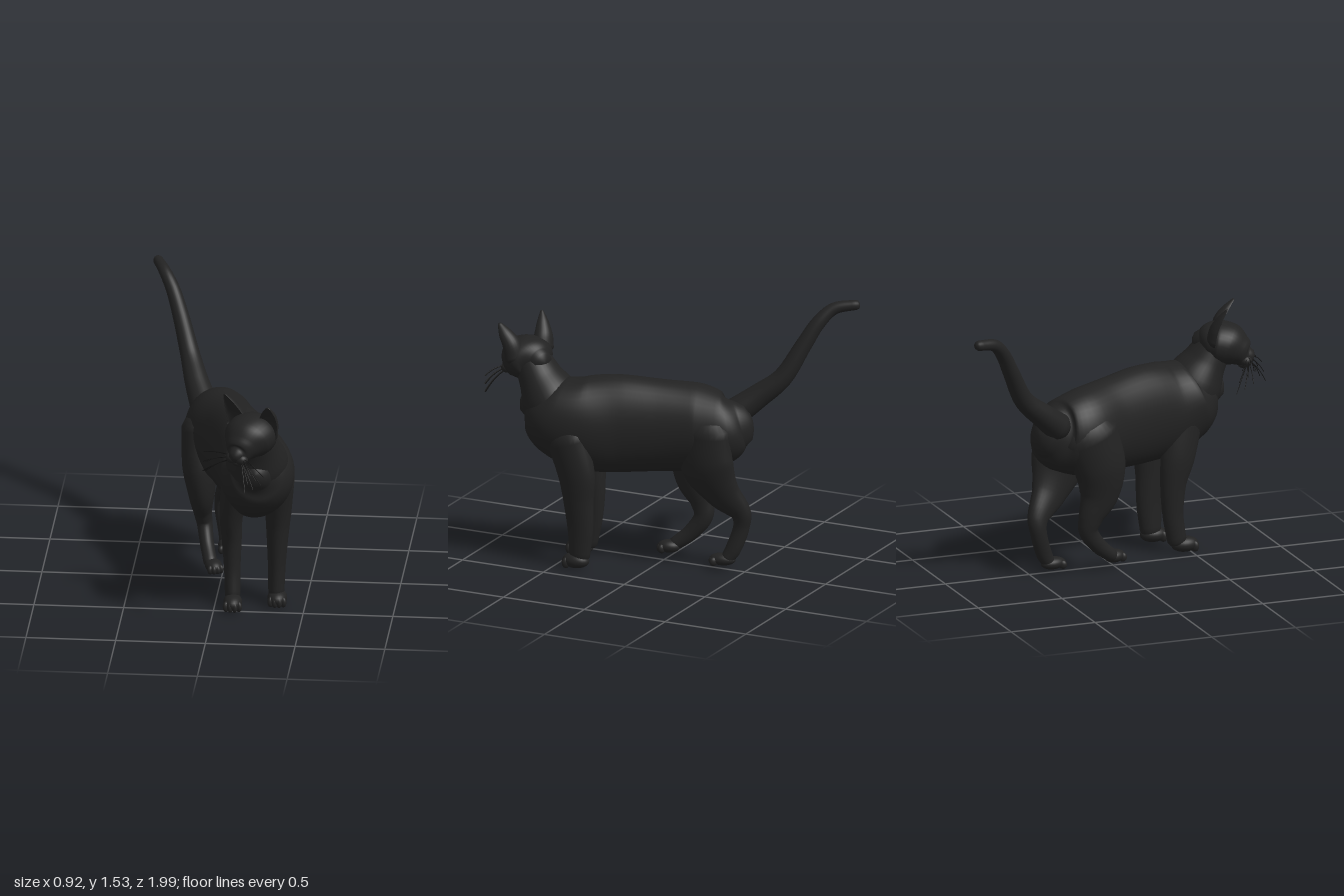
import * as THREE from 'three';

const V = (x, y, z) => new THREE.Vector3(x, y, z);
const SIDE = V(1, 0, 0);
const HEAD_SIDE = V(0.88, 0, 0.47); // the head is turned toward its right
const HEAD_YAW = -0.49;

// Smooth skin through stations [x, y, z, half width, half depth], rounded at both ends.
// "hollow" pushes the front half of each section inward to make a dished shape.
function loft(stations, { side = SIDE, n = 28, steps = 6, hollow = 0 } = {}) {
  const path = new THREE.CatmullRomCurve3(stations.map(s => V(s[0], s[1], s[2])));
  const size = new THREE.CatmullRomCurve3(stations.map(s => V(s[3], s[4] ?? s[3], 0)));
  const count = (stations.length - 1) * steps;
  const rings = [];
  for (let i = 0; i <= count; i++) {
    const u = i / count;
    const t = path.getTangent(u), r = size.getPoint(u), c = path.getPoint(u);
    const ends = i === 0 ? [0.05, 0.4, 0.8] : i === count ? [0.8, 0.4, 0.05] : [];
    const caps = ends.map(k => {
      const d = Math.sqrt(1 - k * k) * Math.min(r.x, r.y) * 0.7 * (i === 0 ? -1 : 1);
      return { c: c.clone().addScaledVector(t, d), t, rx: r.x * k, ry: r.y * k };
    });
    const ring = { c, t, rx: r.x, ry: r.y };
    rings.push(...(i === 0 ? [...caps, ring] : [ring, ...caps]));
  }
  const pos = [], index = [];
  for (const { c, t, rx, ry } of rings) {
    const s = side.clone().addScaledVector(t, -side.dot(t)).normalize();
    const o = t.clone().cross(s);
    for (let j = 0; j < n; j++) {
      const a = j / n * Math.PI * 2;
      let k = Math.sin(a);
      if (hollow && k < 0) k *= -hollow;
      pos.push(...c.clone().addScaledVector(s, Math.cos(a) * rx).addScaledVector(o, k * ry).toArray());
    }
  }
  const last = rings.length - 1;
  for (let i = 0; i < last; i++) for (let j = 0; j < n; j++) {
    const a = i * n + j, b = i * n + (j + 1) % n;
    index.push(a, b, b + n, a, b + n, a + n);
  }
  for (let j = 1; j < n - 1; j++) {
    index.push(0, j + 1, j, last * n, last * n + j, last * n + j + 1);
  }
  const g = new THREE.BufferGeometry();
  g.setAttribute('position', new THREE.Float32BufferAttribute(pos, 3));
  g.setIndex(index);
  g.computeVertexNormals();
  return g;
}

export function createModel() {
  const model = new THREE.Group();
  const fur = new THREE.MeshStandardMaterial({ color: 0x222222 });
  fur.name = 'blackFur';
  const dark = new THREE.MeshStandardMaterial({ color: 0x141414 });
  dark.name = 'darkDetail';

  const add = (name, geometry, material = fur, parent = model) => {
    const mesh = new THREE.Mesh(geometry, material);
    mesh.name = name;
    parent.add(mesh);
    return mesh;
  };
  const blob = (name, p, r, yaw = 0, material = fur, parent = model) => {
    const mesh = add(name, new THREE.SphereGeometry(1, 24, 16), material, parent);
    mesh.position.set(...p);
    mesh.scale.set(...r);
    mesh.rotation.y = yaw;
    return mesh;
  };

  // Trunk, from rump to chest
  add('body', loft([
    [-0.09, 0.83, -0.43, 0.10, 0.13],
    [-0.05, 0.81, -0.36, 0.165, 0.20],
    [-0.02, 0.80, -0.20, 0.20, 0.25],
    [0.06, 0.805, 0.00, 0.178, 0.265],
    [0.14, 0.81, 0.20, 0.18, 0.28],
    [0.22, 0.81, 0.40, 0.198, 0.27],
    [0.252, 0.85, 0.55, 0.205, 0.225],
    [0.255, 0.89, 0.65, 0.15, 0.15],
    [0.255, 0.90, 0.69, 0.09, 0.09],
  ], { n: 40 }));

  add('neck', loft([
    [0.25, 0.82, 0.52, 0.185, 0.17],
    [0.25, 0.95, 0.585, 0.17, 0.16],
    [0.245, 1.05, 0.645, 0.135, 0.12],
    [0.235, 1.14, 0.70, 0.11, 0.10],
  ], { n: 36 }));

  add('tail', loft([
    [-0.13, 0.88, -0.38, 0.08],
    [-0.18, 0.97, -0.49, 0.068],
    [-0.23, 1.085, -0.62, 0.055],
    [-0.29, 1.27, -0.72, 0.046],
    [-0.34, 1.40, -0.79, 0.04],
    [-0.39, 1.475, -0.86, 0.034],
    [-0.44, 1.50, -0.975, 0.028],
  ]));

  // Legs, each with a paw and four toes
  const leg = (name, stations, paw, size, yaw) => {
    const group = new THREE.Group();
    group.name = name;
    model.add(group);
    add(name + 'Limb', loft(stations), fur, group);
    blob(name + 'Paw', paw, size, yaw, fur, group);
    for (let i = 0; i < 4; i++) {
      const a = yaw + (i - 1.5) * 0.42;
      blob(name + 'Toe', [paw[0] + Math.sin(a) * size[2] * 0.72, paw[1] - size[1] * 0.25,
        paw[2] + Math.cos(a) * size[2] * 0.72], [0.017, size[1] * 0.72, 0.024], a, fur, group);
    }
  };
  leg('leftFrontLeg', [
    [0.355, 0.76, 0.43, 0.09, 0.12],
    [0.35, 0.55, 0.37, 0.073, 0.11],
    [0.345, 0.40, 0.36, 0.06, 0.09],
    [0.34, 0.22, 0.35, 0.049, 0.075],
    [0.338, 0.07, 0.355, 0.045, 0.06],
  ], [0.345, 0.045, 0.375], [0.055, 0.044, 0.078], 0.05);
  leg('rightFrontLeg', [
    [0.13, 0.76, 0.46, 0.09, 0.12],
    [0.093, 0.55, 0.42, 0.066, 0.10],
    [0.093, 0.40, 0.395, 0.056, 0.075],
    [0.096, 0.22, 0.395, 0.046, 0.06],
    [0.10, 0.07, 0.42, 0.043, 0.055],
  ], [0.105, 0.045, 0.468], [0.052, 0.044, 0.08], 0.05);
  leg('leftHindLeg', [
    [0.07, 0.82, -0.29, 0.10, 0.15],
    [0.07, 0.62, -0.30, 0.09, 0.16],
    [0.03, 0.46, -0.37, 0.062, 0.11],
    [-0.03, 0.33, -0.46, 0.045, 0.062],
    [-0.04, 0.25, -0.46, 0.04, 0.047],
    [-0.02, 0.12, -0.42, 0.036, 0.045],
    [-0.01, 0.065, -0.39, 0.036, 0.038],
  ], [-0.005, 0.055, -0.36], [0.045, 0.035, 0.075], 0.2);
  leg('rightHindLeg', [
    [-0.13, 0.82, -0.20, 0.11, 0.17],
    [-0.13, 0.62, -0.13, 0.10, 0.15],
    [-0.122, 0.46, -0.13, 0.075, 0.115],
    [-0.12, 0.33, -0.18, 0.052, 0.072],
    [-0.11, 0.25, -0.19, 0.044, 0.055],
    [-0.09, 0.15, -0.12, 0.039, 0.045],
    [-0.065, 0.08, -0.035, 0.038, 0.038],
  ], [-0.045, 0.07, -0.01], [0.047, 0.037, 0.065], 0.35);

  // Head, from the nape to the nose
  const head = new THREE.Group();
  head.name = 'head';
  model.add(head);
  add('skull', loft([
    [0.275, 1.15, 0.63, 0.07, 0.07],
    [0.255, 1.155, 0.67, 0.125, 0.105],
    [0.235, 1.15, 0.72, 0.148, 0.122],
    [0.21, 1.135, 0.77, 0.138, 0.122],
    [0.185, 1.105, 0.82, 0.098, 0.092],
    [0.168, 1.08, 0.855, 0.065, 0.065],
    [0.16, 1.075, 0.872, 0.045, 0.045],
  ], { side: HEAD_SIDE, n: 36 }), fur, head);
  for (const s of [-1, 1]) {
    const at = (x, y, z, d) => [x + s * d * HEAD_SIDE.x, y, z + s * d * HEAD_SIDE.z];
    blob('cheekPad', at(0.163, 1.055, 0.86, 0.03), [0.038, 0.032, 0.035], HEAD_YAW, fur, head);
    blob('eye', at(0.197, 1.178, 0.795, 0.078), [0.026, 0.013, 0.024], HEAD_YAW, dark, head);
  }
  blob('chin', [0.17, 1.03, 0.845], [0.035, 0.025, 0.035], HEAD_YAW, fur, head);
  blob('nose', [0.153, 1.092, 0.888], [0.018, 0.012, 0.012], HEAD_YAW, dark, head);

  // Dished ears
  const ear = { side: HEAD_SIDE, n: 24, hollow: 0.35 };
  add('rightEar', loft([
    [0.15, 1.19, 0.68, 0.068, 0.06],
    [0.132, 1.25, 0.685, 0.058, 0.055],
    [0.105, 1.32, 0.70, 0.036, 0.034],
    [0.083, 1.372, 0.715, 0.011, 0.012],
  ], ear), fur, head);
  add('leftEar', loft([
    [0.318, 1.17, 0.765, 0.068, 0.06],
    [0.33, 1.24, 0.785, 0.058, 0.055],
    [0.335, 1.30, 0.82, 0.042, 0.038],
    [0.335, 1.348, 0.85, 0.016, 0.014],
  ], ear), fur, head);

  // Whiskers, fanned on both sides of the muzzle
  const whisker = (a, b) => {
    const mid = a.clone().lerp(b, 0.5).add(V(0, 0.025, 0.01));
    add('whisker', new THREE.TubeGeometry(
      new THREE.QuadraticBezierCurve3(a, mid, b), 10, 0.0022, 5), dark, head);
  };
  for (let i = 0; i < 8; i++) {
    const k = i / 7, w = (i * 3 % 8) / 7;
    whisker(V(0.135, 1.045 + 0.025 * k, 0.855), V(-0.04 + 0.03 * w, 0.92 + 0.15 * k, 0.72 + 0.13 * w));
    whisker(V(0.19, 1.04 + 0.025 * k, 0.88), V(0.22 + 0.1 * w, 0.90 + 0.12 * k, 0.995 - 0.04 * w));
  }
  return model;
}
